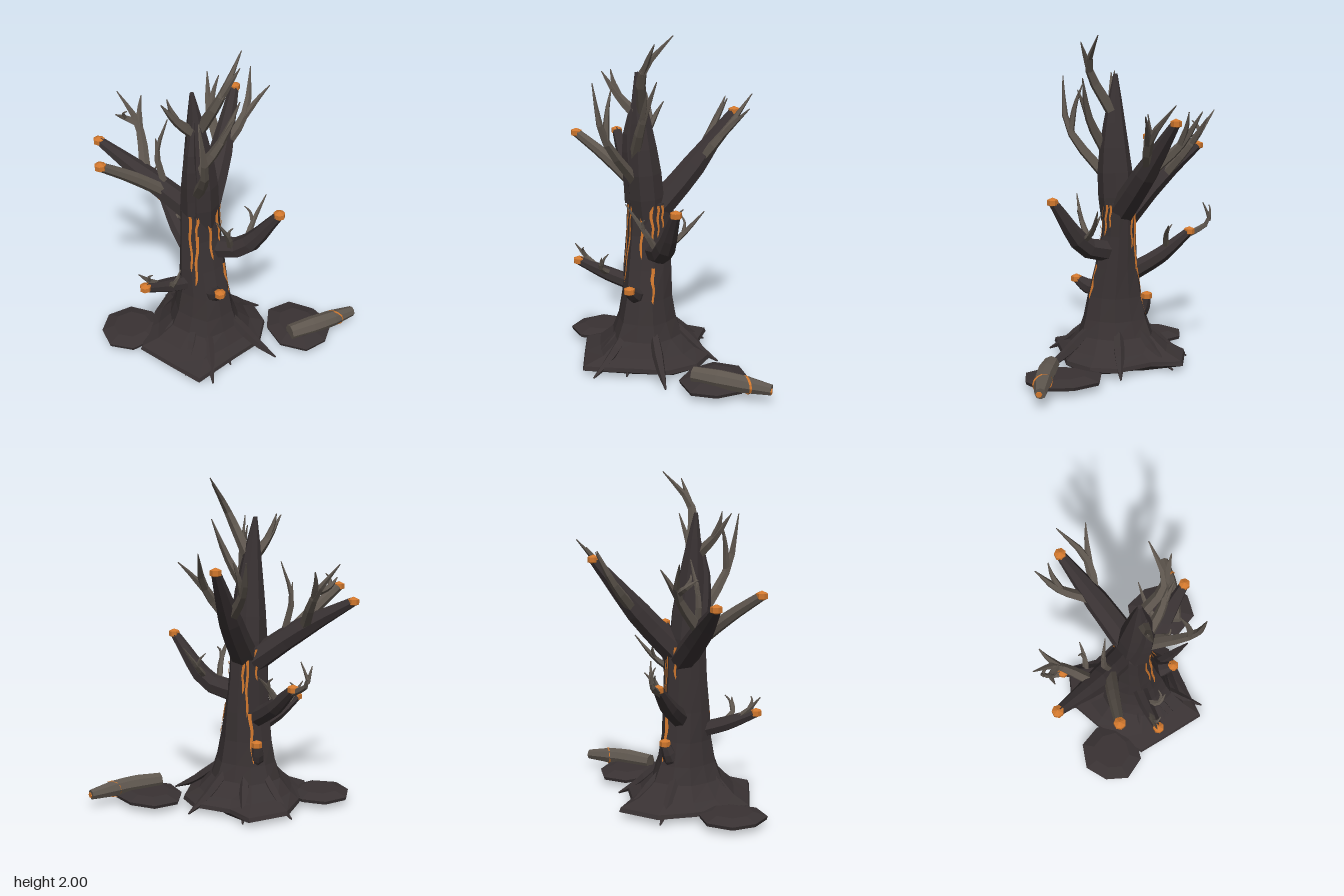
import * as THREE from 'three';

const { lerp } = THREE.MathUtils;
const V = (x, y, z) => new THREE.Vector3(x, y, z);
const mat = (name, color) => Object.assign(new THREE.MeshStandardMaterial({ color, flatShading: true }), { name });

function geometry(pos, idx) {
  const g = new THREE.BufferGeometry();
  g.setAttribute('position', new THREE.Float32BufferAttribute(pos, 3));
  g.setIndex(idx);
  g.computeVertexNormals();
  return g;
}

// Skin between rings of points (counter-clockwise around the direction of travel), closed at both ends
function loft(rings) {
  const pos = [], idx = [], n = rings[0].length;
  rings.forEach((r) => r.forEach((p) => pos.push(p.x, p.y, p.z)));
  for (let i = 0; i < rings.length - 1; i++) {
    for (let j = 0; j < n; j++) {
      const a = i * n + j, b = i * n + (j + 1) % n;
      idx.push(a, b, b + n, a, b + n, a + n);
    }
  }
  [0, rings.length - 1].forEach((i) => {
    const c = V(0, 0, 0), k = pos.length / 3;
    rings[i].forEach((p) => c.addScaledVector(p, 1 / n));
    pos.push(c.x, c.y, c.z);
    for (let j = 0; j < n; j++) {
      const a = i * n + j, b = i * n + (j + 1) % n;
      idx.push(k, ...(i ? [a, b] : [b, a]));
    }
  });
  return geometry(pos, idx);
}

// Tapered tube along a curve; radii are spread evenly
function limb(curve, radii, sides) {
  const steps = 6, f = curve.computeFrenetFrames(steps);
  return loft(Array.from({ length: steps + 1 }, (_, i) => {
    const s = (i / steps) * (radii.length - 1), k = Math.min(Math.floor(s), radii.length - 2);
    const c = curve.getPointAt(i / steps), r = lerp(radii[k], radii[k + 1], s - k);
    return Array.from({ length: sides }, (_, j) => {
      const a = (j / sides) * Math.PI * 2;
      return c.clone().addScaledVector(f.normals[i], r * Math.cos(a)).addScaledVector(f.binormals[i], r * Math.sin(a));
    });
  }));
}
const through = (...pts) => new THREE.CatmullRomCurve3(pts);
const bent = ([a, b, c, d, e, f, g, h, i]) => through(V(a, b, c), V(d, e, f), V(g, h, i));

// Outline of the root skirt (x, z)
const SKIRT = [[.25, .04], [.22, .2], [.08, .34], [-.14, .37], [-.43, .42], [-.5, .2],
  [-.57, -.03], [-.45, -.15], [-.32, -.27], [-.13, -.4], [.13, -.36], [.13, -.17]];
// Trunk levels: y, centre z, radius x, radius z, share of skirt
const LEVELS = [[.035, .02, .3, .3, 1], [.06, .03, .25, .27, .95], [.1, .03, .23, .25, .42],
  [.18, .04, .19, .215, .12], [.28, .04, .168, .195, .04], [.42, .04, .153, .172, 0],
  [.6, .03, .145, .135, 0], [.8, .015, .132, .11, 0], [1, .01, .125, .1, 0]];
const AXIS = -.143;

function levelPoint([y, cz, rx, rz, share], j) {
  const n = SKIRT.length, k = ((j % n) + n) % n, a = (k / n) * Math.PI * 2;
  const bump = k % 2 ? .96 : 1.04;
  return V(lerp(AXIS + rx * bump * Math.cos(a), SKIRT[k][0], share), y,
    lerp(cz + rz * bump * Math.sin(a), SKIRT[k][1], share));
}

// Point just outside the faceted trunk at side position j and height y
function trunkPoint(j, y) {
  let i = 0;
  while (i < LEVELS.length - 2 && y > LEVELS[i + 1][0]) i++;
  const t = (y - LEVELS[i][0]) / (LEVELS[i + 1][0] - LEVELS[i][0]), j0 = Math.floor(j);
  const at = (L) => levelPoint(L, j0).lerp(levelPoint(L, j0 + 1), j - j0);
  const p = at(LEVELS[i]).lerp(at(LEVELS[i + 1]), t);
  return p.addScaledVector(V(p.x - AXIS, 0, p.z - .02).normalize(), .007);
}

// Thin, slightly slanting ribbon down the trunk
function crack(j, top, bottom, slant = 0) {
  const pos = [], idx = [], rows = 12, cols = 3;
  for (let i = 0; i <= rows; i++) {
    const t = i / rows, width = i === rows ? .02 : lerp(.3, .16, t);
    for (let c = 0; c < cols; c++) {
      const side = j + slant * t + .06 * Math.sin(i * .9 + j * 2) + width * (c / (cols - 1) - .5);
      const p = trunkPoint(side, lerp(top, bottom, t));
      pos.push(p.x, p.y, p.z);
      if (i < rows && c < cols - 1) {
        const a = i * cols + c;
        idx.push(a, a + 1, a + cols + 1, a, a + cols + 1, a + cols);
      }
    }
  }
  return geometry(pos, idx);
}

// Flat eight-sided heap of soil
function mound(x, z, rx, rz) {
  const ring = (k, y) => Array.from({ length: 8 }, (_, j) => {
    const a = -(j + .4) / 8 * Math.PI * 2, r = k * (j % 3 ? 1.04 : .96);
    return V(x + rx * r * Math.cos(a), y, z + rz * r * Math.sin(a));
  });
  return loft([ring(.97, .035), ring(1, .055), ring(.6, .08)]);
}

// Sawn limbs: start, bend, tip
const LIMBS = [
  [-.14, .9, -.02, -.33, 1.11, -.24, -.51, 1.3, -.51],
  [-.14, .55, -.05, -.14, .66, -.24, -.14, .81, -.42],
  [-.13, .9, .02, .07, 1.15, -.11, .31, 1.51, -.29],
  [-.27, 1.04, -.16, -.48, 1.21, -.185, -.67, 1.34, -.2],
  [-.11, .26, -.06, -.1, .34, -.13, -.08, .42, -.155],
  [-.2, .46, .03, -.4, .525, .045, -.57, .6, .07],
  [-.16, .45, .12, -.17, .46, .2, -.18, .51, .275],
  [-.11, .7, .04, .01, .75, .22, .14, 1.04, .41]];
const LIMB_RADII = [.08, .06, .088, .042, .055, .05, .055, .07];

// Grey twigs: start, bend, tip
const CROWN_TWIGS = [
  [-.16, 1.55, .06, -.11, 1.8, .19, .05, 2, .14],
  [-.2, 1.12, .07, -.31, 1.44, .32, -.36, 1.75, .35],
  [-.18, 1.5, .05, -.31, 1.63, .05, -.41, 1.77, .05],
  [-.2, 1.28, .08, -.12, 1.5, .19, -.02, 1.75, .23],
  [.1, 1.18, -.15, .28, 1.4, -.14, .42, 1.62, -.28],
  [.12, 1.22, -.17, .16, 1.38, -.34, .22, 1.57, -.45],
  [-.34, 1.12, -.27, -.27, 1.36, -.46, -.33, 1.54, -.59]];
const LOW_TWIGS = [
  [-.28, 1.12, -.17, -.3, 1.3, -.2, -.24, 1.52, -.17],
  [-.14, .7, -.28, -.08, .79, -.27, 0, .87, -.28],
  [-.14, .77, -.38, -.15, .87, -.54, -.13, .99, -.5],
  [-.04, .74, .18, -.1, .88, .24, -.2, 1.04, .27],
  [.02, .77, .24, .12, .86, .18, .24, 1, .15],
  [-.45, .55, .05, -.53, .62, .05, -.6, .7, .05],
  [-.38, .53, .05, -.41, .58, .12, -.39, .66, .16],
  [-.28, 1.37, -.46, -.33, 1.4, -.5, -.4, 1.45, -.49]];

// Where each crown twig's side shoot ends
const SHOOT_TIPS = [[-.03, 1.96, .24], [-.29, 1.7, .23], [-.36, 1.78, .03], [-.07, 1.68, .26],
  [.44, 1.56, -.11], [.25, 1.57, -.37], [-.2, 1.5, -.53]];

// Cracks: side position, top, bottom, slant
const CRACKS = [[4.9, .98, .6], [4.2, .85, .51, .5], [3.05, .99, .67], [4.1, .99, .82, .3], [2.3, .99, .77, -.2],
  [1.6, .99, .8], [2.1, .62, .41, -.2], [1.1, .99, .85], [9.3, .99, .8], [10.2, .98, .58], [9.9, .6, .3], [10.6, .95, .72]];
const ROOT_TIPS = [[-.35, .45], [.1, .48], [.3, .02], [-.53, 0], [-.45, .3], [-.15, -.41], [.13, -.3], [-.17, .38]];

export function createModel() {
  const group = new THREE.Group();
  group.name = 'deadTree';
  const bark = mat('darkBark', 0x393233);
  const grey = mat('greyWood', 0x5e564e);
  const orange = mat('orangeWood', 0xd0772d);
  orange.side = THREE.DoubleSide;
  const add = (name, geo, m) => {
    const mesh = new THREE.Mesh(geo, m);
    mesh.name = name;
    group.add(mesh);
    return mesh;
  };

  // Trunk with a narrower underside
  const rings = LEVELS.map((L) => SKIRT.map((_, j) => levelPoint(L, j)).reverse());
  rings.unshift(rings[0].map((p) => V(lerp(.08, p.x, .43), 0, lerp(.18, p.z, .54))));
  add('trunk', loft(rings), bark);
  add('upperStem', limb(through(V(-.14, .88, .02), V(-.165, 1.3, .04), V(-.2, 1.77, .03)), [.1, .115, .09, .055, .012], 8), bark);
  add('stemSpike', limb(through(V(-.2, 1, .03), V(-.24, 1.4, .07), V(-.21, 1.62, .06)), [.08, .06, .035, .006], 6), bark);

  // Limbs with orange cut ends
  LIMBS.forEach((path, i) => {
    const r = LIMB_RADII[i], curve = bent(path);
    add('limb' + (i + 1), limb(curve, [r, lerp(.028, r, .75), .028], 7), i === 3 ? grey : bark);
    const cut = add('cutEnd' + (i + 1), new THREE.SphereGeometry(.039, 7, 3), orange);
    cut.scale.y = .75;
    cut.position.copy(curve.getPoint(1));
  });

  // Twigs, each with a thinner side shoot
  const twig = (name, curve, r) => add(name, limb(curve, [r, r * .85, r * .55, .003], 5), grey);
  CROWN_TWIGS.forEach((path, i) => {
    const curve = bent(path), from = curve.getPoint(.45), tip = V(...SHOOT_TIPS[i]);
    twig('crownTwig' + (i + 1), curve, .036);
    const knee = from.clone().lerp(tip, .5).addScaledVector(curve.getTangent(.45), .02);
    twig('crownShoot' + (i + 1), through(from, knee, tip), .022);
  });
  LOW_TWIGS.forEach((path, i) => {
    const curve = bent(path), from = curve.getPoint(.5), dir = curve.getTangent(.5);
    twig('lowTwig' + (i + 1), curve, .022);
    const tip = from.clone().add(V(dir.z, 1.2, -dir.x).multiplyScalar(i % 2 ? .06 : .08));
    twig('lowShoot' + (i + 1), through(from, from.clone().lerp(tip, .5).addScaledVector(dir, .02), tip), .013);
  });

  // Exposed roots
  ROOT_TIPS.forEach(([x, z], i) => {
    const at = (k, y) => V(lerp(AXIS, x, k), y, lerp(.03, z, k));
    add('root' + (i + 1), limb(through(at(.4, .21), at(.7, .09), at(1, .01)), [.03, .035, .025, .005], 5), bark);
  });

  CRACKS.forEach((c, i) => add('barkCrack' + (i + 1), crack(...c), orange));

  // Soil heaps
  add('leftMound', mound(-.52, -.22, .2, .19), bark);
  add('rightMound', mound(.365, .36, .2, .23), bark);

  // Fallen log with a slanting orange split and end
  add('fallenLog', limb(through(V(.25, .1, .425), V(.48, .1, .46), V(.715, .085, .475)), [.048, .056, .052, .032], 8), grey);
  const split = add('logSplit', new THREE.CylinderGeometry(.064, .064, .014, 12, 1, true), orange);
  split.position.set(.57, .095, .467);
  split.rotation.set(0, .6, -Math.PI / 2);
  split.scale.x = .8;
  add('logEnd', limb(through(V(.712, .08, .482), V(.72, .08, .482)), [.02, .017], 6), orange);
  return group;
}
